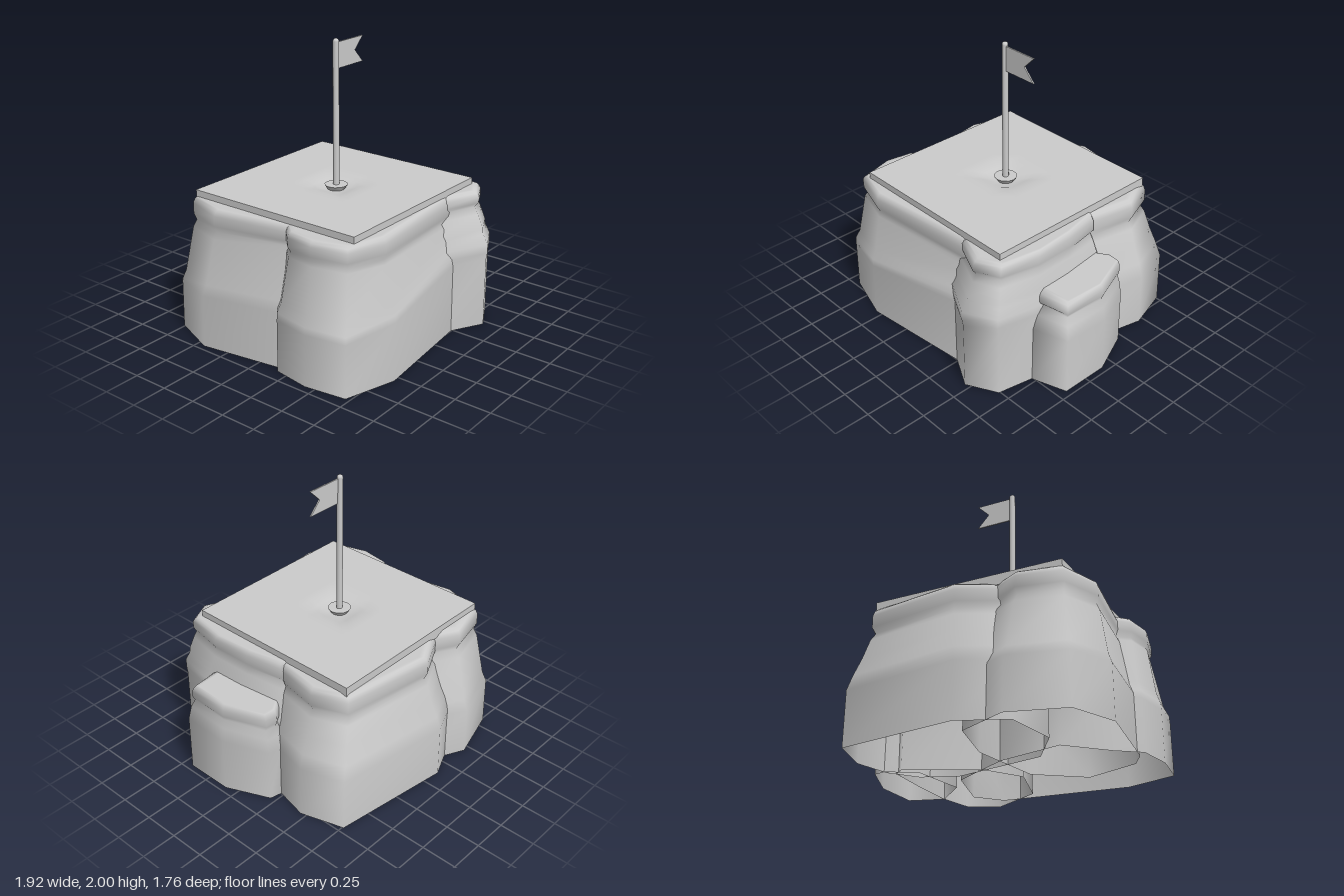
import * as THREE from 'three';

const material = new THREE.MeshStandardMaterial({ color: 0xcccccc, side: THREE.DoubleSide, roughness: 0.9 });

function add(group, name, geometry, x = 0, y = 0, z = 0) {
  const mesh = new THREE.Mesh(geometry, material);
  mesh.name = name;
  mesh.position.set(x, y, z);
  group.add(mesh);
}

// Lofts a boulder, open below: each ring [y, t, slopeX, slopeZ] blends the foot
// outline into the top outline by t and tilts that stratum about the centre.
function boulder({ foot, top, rings }) {
  const n = foot.length, pos = [], index = [];
  const cx = top.reduce((s, p) => s + p[0], 0) / n;
  const cz = top.reduce((s, p) => s + p[1], 0) / n;
  const height = rings[rings.length - 1][0];
  for (const [y, t, slopeX = 0, slopeZ = 0] of rings) {
    for (let i = 0; i < n; i++) {
      const x = THREE.MathUtils.lerp(foot[i][0], top[i][0], t);
      const z = THREE.MathUtils.lerp(foot[i][1], top[i][1], t);
      pos.push(x, y + slopeX * (x - cx) + slopeZ * (z - cz), z);
    }
  }
  for (let r = 0; r < rings.length - 1; r++) {
    for (let i = 0; i < n; i++) {
      const a = r * n + i, b = r * n + (i + 1) % n;
      index.push(a, b, b + n, a, b + n, a + n);
    }
  }
  // Cap: a slightly inset rim, then a fan to the centre
  const last = (rings.length - 1) * n, rim = pos.length / 3, centre = rim + n;
  for (let i = 0; i < n; i++) {
    const [x, , z] = pos.slice((last + i) * 3, (last + i) * 3 + 3);
    pos.push(x + (cx - x) * 0.06, height, z + (cz - z) * 0.06);
  }
  pos.push(cx, height, cz);
  for (let i = 0; i < n; i++) {
    const j = (i + 1) % n;
    index.push(last + i, last + j, rim + j, last + i, rim + j, rim + i, rim + i, rim + j, centre);
  }
  const g = new THREE.BufferGeometry();
  g.setAttribute('position', new THREE.Float32BufferAttribute(pos, 3));
  g.setIndex(index);
  g.computeVertexNormals();
  return g;
}

// The outlines overlap, so the seams form where neighbouring boulders cross
const boulders = {
  frontLeftBoulder: {
    foot: [[-0.91, 0.72], [-0.55, 0.83], [0.36, 0.735], [0.51, 0.56], [0.39, 0.16], [-0.04, -0.09], [-0.5, -0.2], [-0.75, 0.05], [-0.91, 0.17], [-0.95, 0.43]],
    top: [[-0.81, 0.66], [-0.55, 0.74], [0.34, 0.66], [0.45, 0.54], [0.35, 0.16], [-0.04, -0.06], [-0.48, -0.15], [-0.7, 0.08], [-0.84, 0.23], [-0.87, 0.43]],
    rings: [[0, 0], [0.43, 0.02, 0.11], [0.48, 0.05, 0.11], [0.54, 0.35, 0.1], [0.77, 0.9, -0.04], [0.8, 1.08, -0.04],
      [0.84, 0.87, -0.03], [0.91, 0.85, -0.02], [0.94, 0.97, -0.01], [0.96, 1.15]],
  },
  frontRightBoulder: {
    foot: [[0.105, 0.675], [0.46, 0.87], [0.67, 0.76], [0.72, 0.5], [0.72, 0.2], [0.7, -0.15], [0.62, -0.22], [0.145, 0.035], [-0.015, 0.285]],
    top: [[0.15, 0.61], [0.47, 0.75], [0.62, 0.68], [0.67, 0.4], [0.65, 0.12], [0.6, -0.12], [0.54, -0.16], [0.17, 0.05], [0.03, 0.3]],
    rings: [[0, 0], [0.47, 0, 0, 0.04], [0.52, -0.07, 0, 0.04], [0.58, -0.05, 0, 0.04], [0.64, 0.28, 0, 0.05], [0.68, 0.33, 0, 0.05],
      [0.78, 0.7, 0, 0.04], [0.83, 0.93, 0, 0.04], [0.86, 0.72, 0, 0.04], [0.92, 0.74, 0, 0.01], [0.945, 0.87], [0.96, 1.05]],
  },
  backRightBoulder: {
    foot: [[0.74, -0.2], [0.8, -0.46], [0.71, -0.76], [-0.13, -0.88], [-0.45, -0.74], [-0.5, -0.35], [-0.3, -0.05], [0.35, 0.08], [0.6, -0.02]],
    top: [[0.63, -0.16], [0.69, -0.45], [0.6, -0.69], [-0.08, -0.79], [-0.42, -0.62], [-0.46, -0.35], [-0.29, -0.06], [0.34, 0.06], [0.54, -0.02]],
    rings: [[0, 0], [0.38, 0.03], [0.48, 0.3], [0.6, 0.7], [0.73, 1.05], [0.775, 1.3], [0.82, 1.1], [0.9, 1.1], [0.935, 1.2], [0.95, 1.4]],
  },
  backLeftBoulder: {
    foot: [[-0.1, -0.7], [-0.45, -0.87], [-0.83, -0.76], [-0.96, -0.44], [-0.86, 0.22], [-0.78, 0.36], [-0.4, 0.5], [-0.08, 0.26], [0, -0.3]],
    top: [[-0.15, -0.58], [-0.47, -0.75], [-0.77, -0.68], [-0.87, -0.39], [-0.77, 0.24], [-0.71, 0.34], [-0.4, 0.45], [-0.1, 0.25], [-0.04, -0.28]],
    rings: [[0, 0], [0.38, 0.05, 0, 0.04], [0.45, 0.35, 0, 0.04], [0.76, 0.98, 0, 0.03], [0.81, 1.23, 0, 0.03],
      [0.85, 1.05, 0, 0.02], [0.915, 1.05], [0.945, 1.17], [0.96, 1.35]],
  },
  sideBoulder: {
    foot: [[0.72, 0.51], [0.96, 0.43], [0.96, 0.09], [0.83, -0.21], [0.74, -0.23], [0.55, -0.1], [0.5, 0.3]],
    top: [[0.71, 0.43], [0.92, 0.4], [0.93, 0.1], [0.82, -0.18], [0.74, -0.19], [0.57, -0.08], [0.52, 0.3]],
    rings: [[0, 0], [0.4, 0.05, 0, 0.04], [0.5, 0.5, 0, 0.04], [0.56, 1.1, 0, 0.03], [0.59, 0.78, 0, 0.02], [0.635, 0.82], [0.66, 0.98], [0.68, 1.35]],
  },
};

// Square slab whose top dips around the pole
function slabGeometry() {
  const g = new THREE.BoxGeometry(1.33, 0.075, 1.32, 20, 1, 20);
  const p = g.attributes.position;
  for (let i = 0; i < p.count; i++) {
    if (p.getY(i) < 0) continue;
    const d = Math.max(Math.abs(p.getX(i)), Math.abs(p.getZ(i)));
    p.setY(i, p.getY(i) - 0.035 * (1 - THREE.MathUtils.smoothstep(d, 0.05, 0.2)));
  }
  g.computeVertexNormals();
  return g;
}

export function createModel() {
  const model = new THREE.Group();
  model.name = 'rockWithFlag';
  const poleX = -0.085;

  const rocks = new THREE.Group();
  rocks.name = 'boulders';
  for (const [name, spec] of Object.entries(boulders)) add(rocks, name, boulder(spec));
  model.add(rocks);

  add(model, 'topSlab', slabGeometry(), poleX, 0.9675, 0);

  // Tapered plug set in the dip
  add(model, 'poleSocket', new THREE.CylinderGeometry(0.08, 0.05, 0.045, 12), poleX, 0.98, 0);

  // Pole with a rounded tip
  const profile = [[0.022, 0], [0.021, 0.98]];
  for (let i = 1; i <= 4; i++) {
    const a = (i / 4) * Math.PI / 2;
    profile.push([0.021 * Math.cos(a), 0.98 + 0.02 * Math.sin(a)]);
  }
  add(model, 'pole', new THREE.LatheGeometry(profile.map(([r, y]) => new THREE.Vector2(Math.max(r, 0), y)), 12), poleX, 1, 0);

  // Swallow-tailed flag
  const flag = new THREE.Shape([[0, 1.8], [0.275, 1.8], [0.19, 1.89], [0.275, 1.975], [0, 1.975]]
    .map(([x, y]) => new THREE.Vector2(x, y)));
  add(model, 'flag', new THREE.ExtrudeGeometry(flag, { depth: 0.01, bevelEnabled: false }), poleX, 0, 0);

  return model;
}
